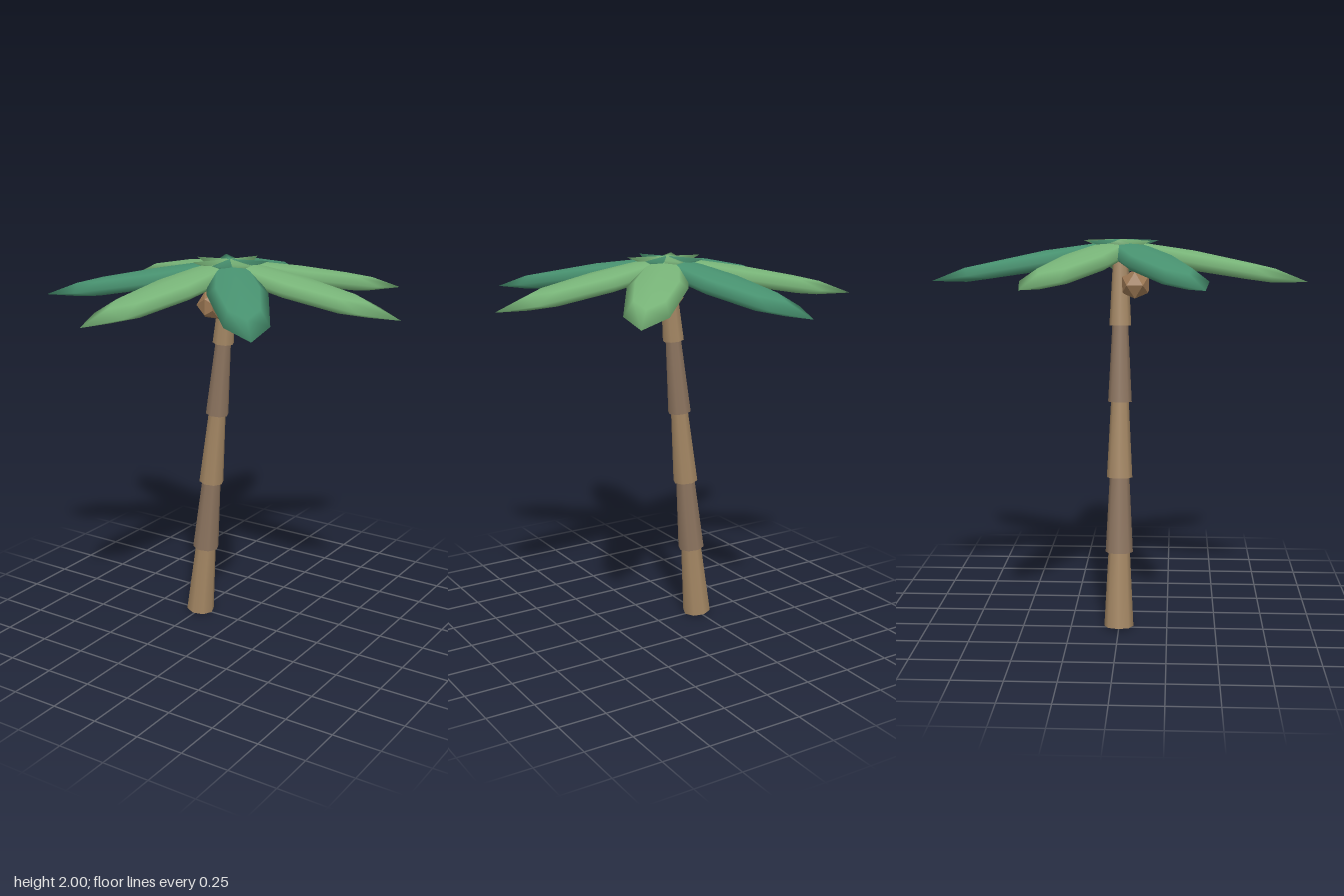
import * as THREE from 'three';

const material = (color, extra = {}) => new THREE.MeshStandardMaterial({ color, ...extra });

export function createModel() {
  const palm = new THREE.Group();
  palm.name = 'palmTree';

  // Trunk: five tapered sections along a leaning line
  const trunk = new THREE.Group();
  trunk.name = 'trunk';
  const barks = [material(0xa48764), material(0x8d7560)];
  const base = new THREE.Vector3(-0.25, 0.008, 0);
  const top = new THREE.Vector3(-0.05, 1.95, 0);
  const sections = 5;
  const sectionLength = base.distanceTo(top) / sections;
  const lean = -Math.atan2(top.x - base.x, top.y - base.y);
  for (let i = 0; i < sections; i++) {
    const radius = 0.076 - i * 0.005;
    const section = new THREE.Mesh(
      new THREE.CylinderGeometry(radius - 0.02, radius, sectionLength, 8), barks[i % 2]);
    section.name = 'trunkSection';
    section.position.lerpVectors(base, top, (i + 0.5) / sections);
    section.rotation.z = lean;
    trunk.add(section);
  }
  palm.add(trunk);

  // Crown: seven drooping flattened leaves whose inner ends cross over the centre
  const crown = new THREE.Group();
  crown.name = 'crown';
  crown.position.set(-0.048, 0, 0);
  const greens = [material(0x78b478), material(0x489270)];
  const leafGeo = new THREE.SphereGeometry(1, 8, 4).scale(0.585, 0.05, 0.149);
  for (let i = 0; i < 7; i++) {
    const spoke = new THREE.Group();
    spoke.name = 'leafSpoke';
    spoke.rotation.y = -i * Math.PI * 2 / 7;
    const leaf = new THREE.Mesh(leafGeo, greens[i % 2]);
    leaf.name = 'leaf';
    leaf.position.set(0.378, 1.894, 0);
    leaf.rotation.z = -0.168;
    spoke.add(leaf);
    crown.add(spoke);
  }
  palm.add(crown);

  // Coconuts: a row of three in front of the trunk
  const coconuts = new THREE.Group();
  coconuts.name = 'coconuts';
  const shell = material(0x9c7854, { flatShading: true });
  const nutGeo = new THREE.IcosahedronGeometry(0.078, 0);
  for (const x of [-0.108, -0.03, 0.048]) {
    const nut = new THREE.Mesh(nutGeo, shell);
    nut.name = 'coconut';
    nut.position.set(x, 1.77, 0.076);
    coconuts.add(nut);
  }
  palm.add(coconuts);

  return palm;
}
